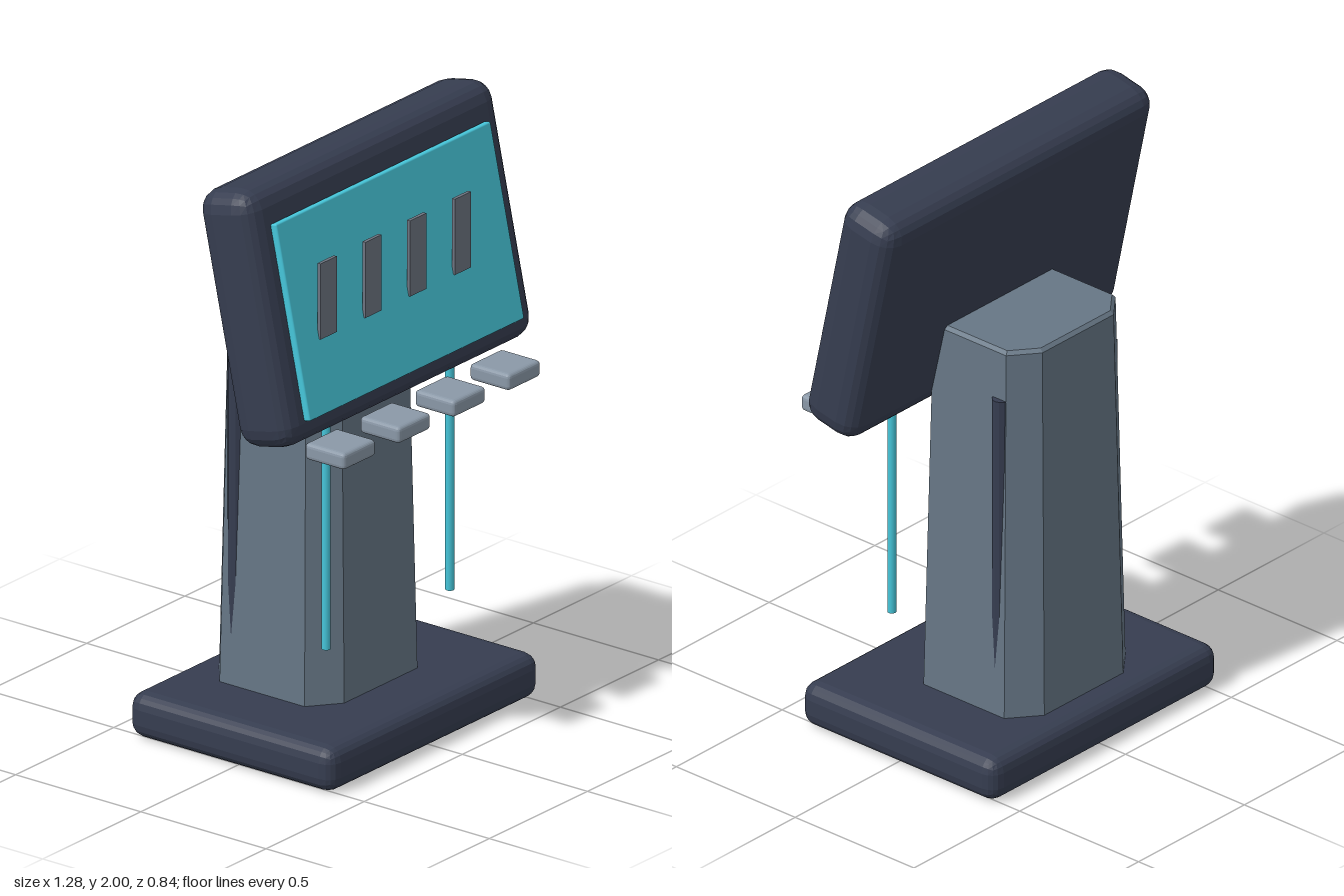
import * as THREE from 'three';
import { RoundedBoxGeometry } from 'three/addons/geometries/RoundedBoxGeometry.js';

const paint = (name, color, flatShading = false) => {
  const m = new THREE.MeshStandardMaterial({ color });
  m.name = name;
  m.flatShading = flatShading;
  return m;
};

export function createModel() {
  const group = new THREE.Group();
  const dark = paint('darkCasing', 0x363d50, true);
  const steel = paint('columnGrey', 0x667685, true);
  const cyan = paint('glowCyan', 0x46c6da);
  const keyGrey = paint('keyGrey', 0x8a98a7, true);
  const barGrey = paint('barGrey', 0x6d7480);

  const add = (name, geometry, material, x, y, z, parent = group) => {
    const mesh = new THREE.Mesh(geometry, material);
    mesh.name = name;
    mesh.position.set(x, y, z);
    parent.add(mesh);
    return mesh;
  };

  // Foot slab
  add('base', new RoundedBoxGeometry(1.075, 0.152, 0.82, 2, 0.05), dark, 0, 0.076, -0.012);

  // Chamfered column, tapering by a tenth towards the top
  const w = 0.287, d = 0.25, cx = 0.1, cz = 0.08;
  const outline = new THREE.Shape([
    [w, -d + cz], [w, d - cz], [w - cx, d], [-w + cx, d],
    [-w, d - cz], [-w, -d + cz], [-w + cx, -d], [w - cx, -d],
  ].map(([x, y]) => new THREE.Vector2(x, y)));
  const bevel = 0.012, height = 1.315;
  const column = new THREE.ExtrudeGeometry(outline, {
    depth: height - 2 * bevel, bevelEnabled: true, bevelThickness: bevel,
    bevelSize: bevel, bevelOffset: -bevel, bevelSegments: 1,
  });
  column.translate(0, 0, bevel).rotateX(-Math.PI / 2);
  const p = column.attributes.position;
  for (let i = 0; i < p.count; i++) {
    const s = 1 - 0.1 * p.getY(i) / height;
    p.setX(i, p.getX(i) * s);
    p.setZ(i, p.getZ(i) * s);
  }
  column.computeVertexNormals();
  add('column', column, steel, 0, 0.13, -0.075);

  // Upright inlays sunk in the column flanks, and free light rods
  for (const side of [1, -1]) {
    add('sideInlay', new THREE.CylinderGeometry(0.03, 0.03, 1.0, 12), dark, side * 0.253, 0.77, -0.202);
    add('lightRod', new THREE.CylinderGeometry(0.0145, 0.0145, 0.755, 12), cyan, side * 0.315, 0.7625, 0.203);
  }

  // Tilted head with its screen
  const head = new THREE.Group();
  head.name = 'head';
  head.position.set(0, 1.572, 0.115);
  head.rotation.x = -0.21;
  group.add(head);
  add('headCasing', new RoundedBoxGeometry(1.285, 0.852, 0.222, 2, 0.07), dark, 0, 0, 0, head);
  add('screen', new RoundedBoxGeometry(1.095, 0.65, 0.026, 1, 0.006), cyan, 0, -0.024, 0.123, head);

  // Four display bars and four floating keys
  for (let i = 0; i < 4; i++) {
    add('displayBar', new THREE.BoxGeometry(0.082, 0.257, 0.012), barGrey, -0.396 + 0.228 * i, 1.62, 0.271);
    add('key', new RoundedBoxGeometry(0.165, 0.056, 0.16, 2, 0.014), keyGrey, -0.42 + 0.28 * i, 1.13, 0.342);
  }
  return group;
}
